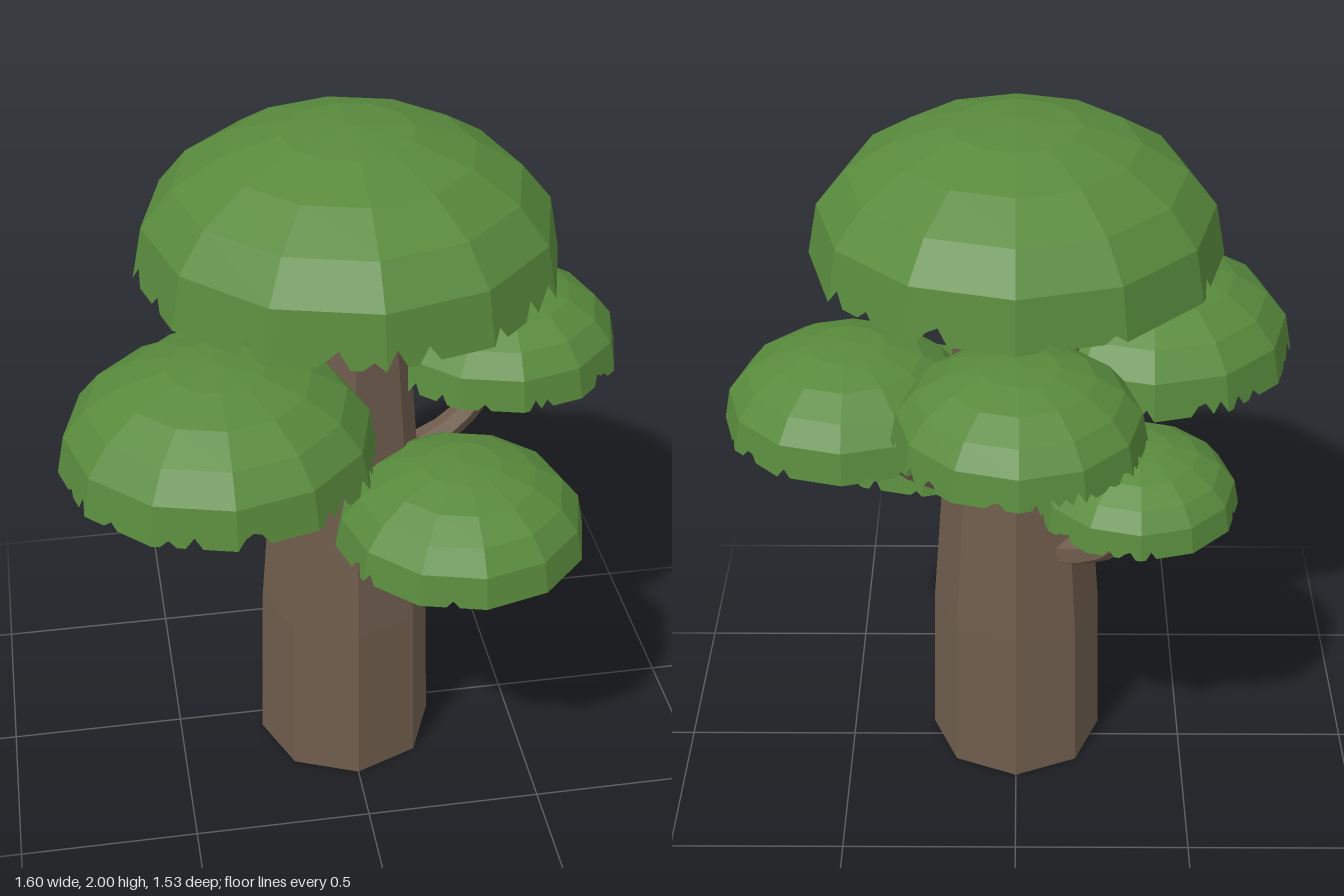
import * as THREE from 'three';

const SIDES = 12;
const RIM_STEPS = 10;

// Small seeded random generator for the ragged leaf edges
function seeded(seed) {
  let s = seed * 7919 + 17;
  return () => {
    s = (s * 16807) % 2147483647;
    return s / 2147483647;
  };
}

// Unit dome profile: radius and height at an angle from the pole
const profile = (deg) => {
  const a = THREE.MathUtils.degToRad(deg);
  return new THREE.Vector2(Math.sin(a), 0.06 + 0.63 * Math.cos(a));
};

function ringPoint(r, y, i) {
  const a = (i / SIDES) * Math.PI * 2;
  return new THREE.Vector3(r * Math.sin(a), y, r * Math.cos(a));
}

// Lowest band of a dome: flat panels with small notches cut up from the rim
function skirtGeometry(seed) {
  const rand = seeded(seed);
  const top = profile(72);
  const pos = [];
  for (let i = 0; i < SIDES; i++) {
    const [t0, t1] = [ringPoint(top.x, top.y, i), ringPoint(top.x, top.y, i + 1)];
    const [b0, b1] = [ringPoint(1, 0, i), ringPoint(1, 0, i + 1)];
    const upper = [], lower = [];
    for (let k = 0; k <= RIM_STEPS; k++) {
      const f = k / RIM_STEPS;
      const corner = k === 0 || k === RIM_STEPS;
      const lift = !corner && rand() < 0.18 ? 0.12 + 0.25 * rand() : 0;
      const u = t0.clone().lerp(t1, f);
      upper.push(u);
      lower.push(b0.clone().lerp(b1, f).lerp(u, lift));
    }
    for (let k = 0; k < RIM_STEPS; k++) {
      const quad = [lower[k], lower[k + 1], upper[k + 1], lower[k], upper[k + 1], upper[k]];
      quad.forEach((p) => pos.push(p.x, p.y, p.z));
    }
  }
  const geo = new THREE.BufferGeometry();
  geo.setAttribute('position', new THREE.Float32BufferAttribute(pos, 3));
  geo.computeVertexNormals();
  return geo;
}

// Tapered branch along a curve; the last ring folds inward to close the tip
function branchGeometry(points, r0, r1) {
  const curve = new THREE.CatmullRomCurve3(points.map((p) => new THREE.Vector3(...p)));
  const rings = 6, sides = 6;
  const geo = new THREE.TubeGeometry(curve, rings, 1, sides);
  const pos = geo.attributes.position;
  const v = new THREE.Vector3();
  for (let i = 0; i <= rings; i++) {
    const tip = i === rings;
    const c = curve.getPointAt(i / rings);
    const r = THREE.MathUtils.lerp(r0, r1, i / rings);
    for (let j = 0; j <= sides; j++) {
      const n = i * (sides + 1) + j;
      if (tip) v.copy(curve.getPointAt((i - 1) / rings));
      else v.fromBufferAttribute(pos, n).sub(c).multiplyScalar(r).add(c);
      pos.setXYZ(n, v.x, v.y, v.z);
    }
  }
  geo.computeVertexNormals();
  return geo;
}

export function createModel() {
  const model = new THREE.Group();
  model.name = 'tree';

  const bark = new THREE.MeshStandardMaterial({ color: 0x6e5c4c, flatShading: true });
  bark.name = 'bark brown';
  const leaf = new THREE.MeshStandardMaterial({
    color: 0x588a3c, flatShading: true, side: THREE.DoubleSide,
  });
  leaf.name = 'leaf green';

  // Eight-sided trunk, gently tapering
  const trunkProfile = [
    [0, 0], [0.255, 0], [0.243, 0.5], [0.213, 0.9], [0.185, 1.25], [0.155, 1.6], [0.15, 1.68], [0, 1.68],
  ].map(([x, y]) => new THREE.Vector2(x, y));
  const trunk = new THREE.Mesh(new THREE.LatheGeometry(trunkProfile, 8), bark);
  trunk.name = 'trunk';
  trunk.position.z = 0.065;
  model.add(trunk);

  // Branches curving up into the leaf domes
  const branches = {
    rightFrontBranch: [[-0.07, 1.0, 0.19], [-0.19, 1.03, 0.29], [-0.28, 1.12, 0.36], [-0.33, 1.28, 0.43]],
    leftBranch: [[0.15, 0.92, 0.03], [0.29, 0.98, 0.01], [0.4, 1.08, -0.01], [0.49, 1.23, -0.04]],
    backBranch: [[0.04, 1.12, -0.06], [0.035, 1.145, -0.23], [0.02, 1.23, -0.35], [0, 1.42, -0.46]],
    rightBackBranch: [[-0.14, 0.76, -0.08], [-0.23, 0.81, -0.15], [-0.3, 0.9, -0.2], [-0.35, 1.07, -0.25]],
  };
  for (const [name, points] of Object.entries(branches)) {
    const mesh = new THREE.Mesh(branchGeometry(points, 0.046, 0.026), bark);
    mesh.name = name;
    model.add(mesh);
  }

  // Leaf domes: name, rim centre x, y, z and radius
  const domeProfile = [72, 54, 36, 18, 0].map(profile);
  const domeGeometry = new THREE.LatheGeometry(domeProfile, SIDES);
  const canopies = [
    ['crown', 0, 1.61, 0.115, 0.565],
    ['rightFrontCanopy', -0.38, 1.185, 0.345, 0.42],
    ['leftCanopy', 0.455, 1.195, -0.065, 0.345],
    ['leftFrontCanopy', 0.27, 0.875, 0.36, 0.345],
    ['backCanopy', -0.01, 1.355, -0.435, 0.33],
    ['rightBackCanopy', -0.33, 1.01, -0.205, 0.28],
  ];
  canopies.forEach(([name, x, y, z, r], i) => {
    const canopy = new THREE.Group();
    canopy.name = name;
    const dome = new THREE.Mesh(domeGeometry, leaf);
    dome.name = 'leafDome';
    const skirt = new THREE.Mesh(skirtGeometry(i + 1), leaf);
    skirt.name = 'raggedRim';
    canopy.add(dome, skirt);
    canopy.position.set(x, y, z);
    canopy.scale.setScalar(r);
    model.add(canopy);
  });

  return model;
}
